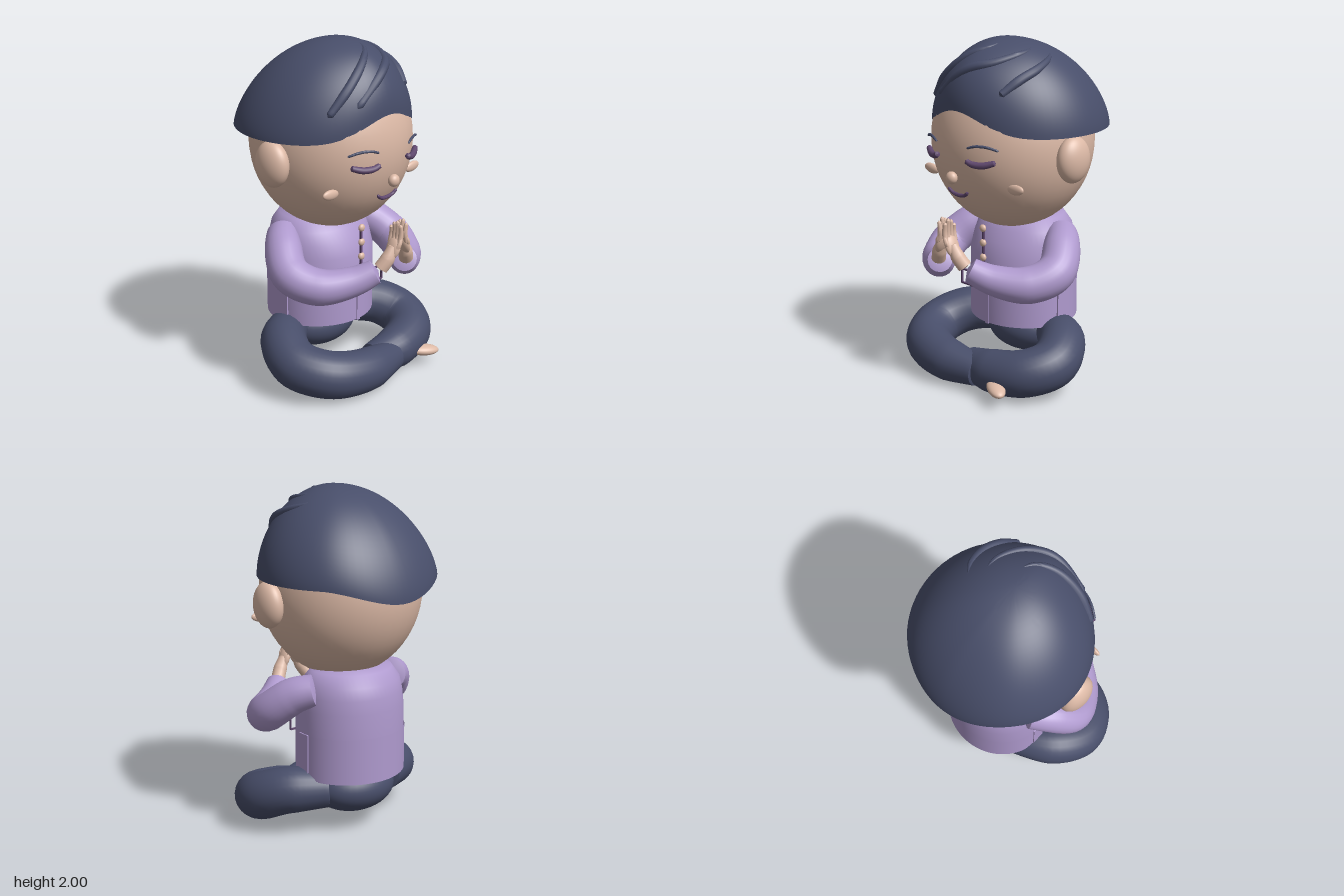
import * as THREE from 'three';
import { toCreasedNormals } from 'three/addons/utils/BufferGeometryUtils.js';

const V = (x, y, z) => new THREE.Vector3(x, y, z);

export function createModel() {
  const root = new THREE.Group();
  root.name = 'meditatingFigure';
  const material = (name, color, side = THREE.FrontSide) => {
    const m = new THREE.MeshStandardMaterial({ color, side });
    m.name = name;
    return m;
  };
  const skin = material('skin', 0xdcb9a6);
  const navy = material('navy', 0x484e6a);
  const lilac = material('lilac', 0xaf9ace, THREE.DoubleSide);
  const plum = material('plum', 0x60486e);

  const add = (name, geometry, mat, parent = root) => {
    const mesh = new THREE.Mesh(geometry, mat);
    mesh.name = name;
    parent.add(mesh);
    return mesh;
  };
  const ellipsoid = (name, mat, [x, y, z], [rx, ry, rz], parent = root) => {
    const mesh = add(name, new THREE.SphereGeometry(1, 40, 28), mat, parent);
    mesh.position.set(x, y, z);
    mesh.scale.set(rx, ry, rz);
    return mesh;
  };
  // Closed tube along a smooth path, its radius running through the given list
  const limb = (name, mat, points, radii, parent = root, n = 40, sides = 24) => {
    const path = new THREE.CatmullRomCurve3(points.map(p => V(...p)));
    const geo = new THREE.TubeGeometry(path, n, 1, sides);
    const pos = geo.attributes.position, v = V(0, 0, 0);
    for (let i = 0; i <= n; i++) {
      const c = path.getPointAt(i / n);
      const k = (i / n) * (radii.length - 1), a = Math.min(Math.floor(k), radii.length - 2);
      const r = i === 0 || i === n ? 0 : THREE.MathUtils.lerp(radii[a], radii[a + 1], k - a);
      for (let j = 0; j <= sides; j++) {
        const id = i * (sides + 1) + j;
        v.fromBufferAttribute(pos, id).sub(c).multiplyScalar(r).add(c);
        pos.setXYZ(id, v.x, v.y, v.z);
      }
    }
    return add(name, toCreasedNormals(geo, 0.8), mat, parent);
  };

  // Head, nose, ears and cheeks
  const headZ = (x, y) => 0.47 * Math.sqrt(1 - (x / 0.47) ** 2 - ((y - 1.42) / 0.52) ** 2);
  ellipsoid('head', skin, [0, 1.42, 0], [0.47, 0.52, 0.47]);
  ellipsoid('nose', skin, [0, 1.26, 0.475], [0.036, 0.036, 0.03]);

  // Thin curved line lying just in front of the face
  const faceLine = (name, mat, pts, r) =>
    limb(name, mat, pts.map(([x, y]) => [x, y, headZ(x, y) + 0.02]), [r * 0.8, r, r, r * 0.8], root, 20, 10);
  for (const s of [-1, 1]) {
    const side = s > 0 ? 'left' : 'right';
    ellipsoid(side + 'Ear', skin, [s * 0.49, 1.37, 0.02], [0.072, 0.132, 0.112]);
    ellipsoid(side + 'Cheek', skin, [s * 0.345, 1.226, 0.32], [0.06, 0.029, 0.018]).rotation.z = s * 0.1;
    faceLine(side + 'Eye', plum, [[s * 0.112, 1.378], [s * 0.15, 1.36], [s * 0.21, 1.358], [s * 0.275, 1.378]], 0.019);
    faceLine(side + 'Eyebrow', navy, [[s * 0.12, 1.445], [s * 0.17, 1.461], [s * 0.23, 1.461], [s * 0.29, 1.442]], 0.008);
  }
  faceLine('mouth', plum, [[-0.083, 1.182], [-0.04, 1.155], [0.04, 1.155], [0.083, 1.182]], 0.011);

  // Hair cap: a sphere whose equator becomes the wavy hairline and whose lower half folds inside
  const hairPoint = (angle, s, up) => {
    const back = THREE.MathUtils.smoothstep(Math.abs(angle), 2.2, Math.PI);
    const rim = 1.5 + 0.13 * Math.exp(-((angle / 0.5) ** 2)) - 0.09 * back;
    // The sides slope more than the front, the right side most
    const sin = Math.sin(angle), cos = Math.cos(angle);
    const slope = 1.07 - 0.15 * cos + 0.17 * Math.abs(sin) - 0.07 * sin;
    const y = up >= 0 ? rim + (2 - rim) * up ** slope : rim - 0.25 * up;
    return V(0.52 * s * sin, y, 0.05 - 0.11 * s + 0.5 * s * cos);
  };
  const hairGeo = new THREE.SphereGeometry(1, 72, 48);
  const hp = hairGeo.attributes.position;
  for (let i = 0; i < hp.count; i++) {
    const x = hp.getX(i), z = hp.getZ(i), y = hp.getY(i);
    const p = hairPoint(Math.atan2(x, z), Math.hypot(x, z), Math.abs(y) < 1e-6 ? 0 : y);
    hp.setXYZ(i, p.x, p.y, p.z);
  }
  add('hair', toCreasedNormals(hairGeo, 0.9), navy);

  // Raised hair strands sweeping over the front of the cap
  const onHair = ([x, z]) => {
    let s = 0.5;
    for (let i = 0; i < 20; i++) s = Math.min(1, Math.hypot(x / 0.52, (z - 0.05 + 0.11 * s) / 0.5));
    const p = hairPoint(Math.atan2(x / 0.52, (z - 0.05 + 0.11 * s) / 0.5), s, Math.sqrt(1 - s * s));
    return [p.x, p.y - 0.008, p.z];
  };
  [
    [[-0.335, 0.29], [-0.2, 0.32], [-0.06, 0.29], [0.03, 0.22], [0.06, 0.14]],
    [[-0.2, 0.38], [0.02, 0.36], [0.14, 0.27], [0.2, 0.12], [0.18, 0]],
    [[0.24, 0.34], [0.29, 0.23], [0.31, 0.13], [0.29, 0.02], [0.24, -0.05]],
  ].forEach((pts, i) =>
    limb('hairStrand' + (i + 1), navy, pts.map(onHair), [0.02, 0.028, 0.027, 0.02, 0.006], root, 30, 12));

  // Shirt body, oval in plan, the chest leaning back towards the neck
  const profile = [[0, 0.34], [0.325, 0.34], [0.326, 0.6], [0.322, 0.75], [0.314, 0.83], [0.297, 0.9], [0.25, 0.965], [0.15, 0.985], [0, 0.985]];
  const shirtGeo = new THREE.LatheGeometry(profile.map(p => new THREE.Vector2(...p)), 56);
  const sp = shirtGeo.attributes.position;
  for (let i = 0; i < sp.count; i++)
    if (sp.getZ(i) > 0) sp.setZ(i, sp.getZ(i) * (1 - 1.1 * Math.max(0, sp.getY(i) - 0.75)));
  const shirt = add('shirt', toCreasedNormals(shirtGeo, 1), lilac);
  shirt.scale.z = 0.93;
  shirt.position.z = -0.085;
  const hem = add('backHem', new THREE.CylinderGeometry(0.33, 0.33, 0.265, 40, 1, true, Math.PI / 2 + 0.12, Math.PI - 0.24), lilac);
  hem.scale.z = 0.93;
  hem.position.set(0, 0.478, -0.085);
  add('frontSeam', new THREE.BoxGeometry(0.026, 0.2, 0.012), lilac).position.set(0.003, 0.435, 0.216);

  // Button band and buttons
  add('buttonBand', new THREE.BoxGeometry(0.014, 0.39, 0.012), plum).position.set(0, 0.73, 0.238);
  for (let i = 0; i < 5; i++)
    ellipsoid('button' + (i + 1), skin, [0, 0.57 + i * 0.0875, 0.242], [0.022, 0.022, 0.016]);

  for (const s of [-1, 1]) {
    const side = s > 0 ? 'left' : 'right';
    // Mirror a list of points to this side
    const m = pts => pts.map(([x, y, z]) => [s * x, y, z]);

    // Pocket outline
    const pocket = new THREE.Group();
    pocket.name = side + 'Pocket';
    root.add(pocket);
    [[0.155, 0.62, 0.11, 0.009], [0.162, 0.535, 0.1, 0.009], [0.212, 0.578, 0.007, 0.09]].forEach(([x, y, w, h], i) =>
      add('pocketEdge' + (i + 1), new THREE.BoxGeometry(w, h, 0.012), plum, pocket).position.set(s * x, y, 0.215));

    // Side vent of the shirt
    add(side + 'Vent', new THREE.BoxGeometry(0.012, 0.265, 0.08), lilac).position.set(s * 0.326, 0.478, -0.08);

    // Sleeve
    limb(side + 'Sleeve', lilac, m([[0.265, 0.875, -0.13], [0.36, 0.835, -0.035], [0.438, 0.725, 0.1],
      [0.372, 0.67, 0.245], [0.225, 0.695, 0.378], [0.115, 0.758, 0.47]]), [0.09, 0.108, 0.112, 0.105, 0.088, 0.068]);

    // Hand pressed to the other one
    const hand = new THREE.Group();
    hand.name = side + 'Hand';
    root.add(hand);
    limb('wrist', skin, m([[0.115, 0.765, 0.48], [0.078, 0.825, 0.505], [0.04, 0.9, 0.515]]), [0.042, 0.041, 0.026], hand, 16, 14);
    const palm = ellipsoid('palm', skin, [s * 0.04, 0.885, 0.515], [0.026, 0.068, 0.046], hand);
    palm.rotation.z = s * 0.38;
    [1.01, 1.035, 1.045, 1.025].forEach((tip, i) => {
      const z = 0.482 + i * 0.022;
      limb('finger' + (i + 1), skin, m([[0.032, 0.9, z], [0.018, 0.96, z], [0.026, tip, z + 0.002]]), [0.015, 0.015, 0.011], hand, 12, 10);
    });
    limb('thumb', skin, m([[0.055, 0.86, 0.53], [0.035, 0.91, 0.553], [0.015, 0.955, 0.55]]), [0.014, 0.014, 0.009], hand, 12, 10);
  }

  // Trousers: seat and crossed legs, the shins meeting in front
  ellipsoid('seat', navy, [0, 0.25, -0.12], [0.26, 0.155, 0.21]);
  limb('rightLeg', navy, [[-0.18, 0.27, -0.15], [-0.4, 0.26, 0], [-0.47, 0.2, 0.17],
    [-0.39, 0.16, 0.33], [-0.19, 0.133, 0.41], [0.14, 0.115, 0.385]], [0.11, 0.135, 0.142, 0.136, 0.122, 0.085]);
  limb('leftLeg', navy, [[0.18, 0.27, -0.15], [0.4, 0.26, 0], [0.47, 0.2, 0.15],
    [0.4, 0.16, 0.28], [0.22, 0.133, 0.345], [-0.03, 0.12, 0.335]], [0.11, 0.135, 0.142, 0.136, 0.125, 0.085]);

  // Bare feet
  const foot = ellipsoid('rightFoot', skin, [0.33, 0.098, 0.458], [0.095, 0.032, 0.05]);
  foot.rotation.set(0, -0.5, -0.12);
  ellipsoid('leftFoot', skin, [-0.1, 0.11, 0.345], [0.09, 0.035, 0.05]);

  return root;
}
